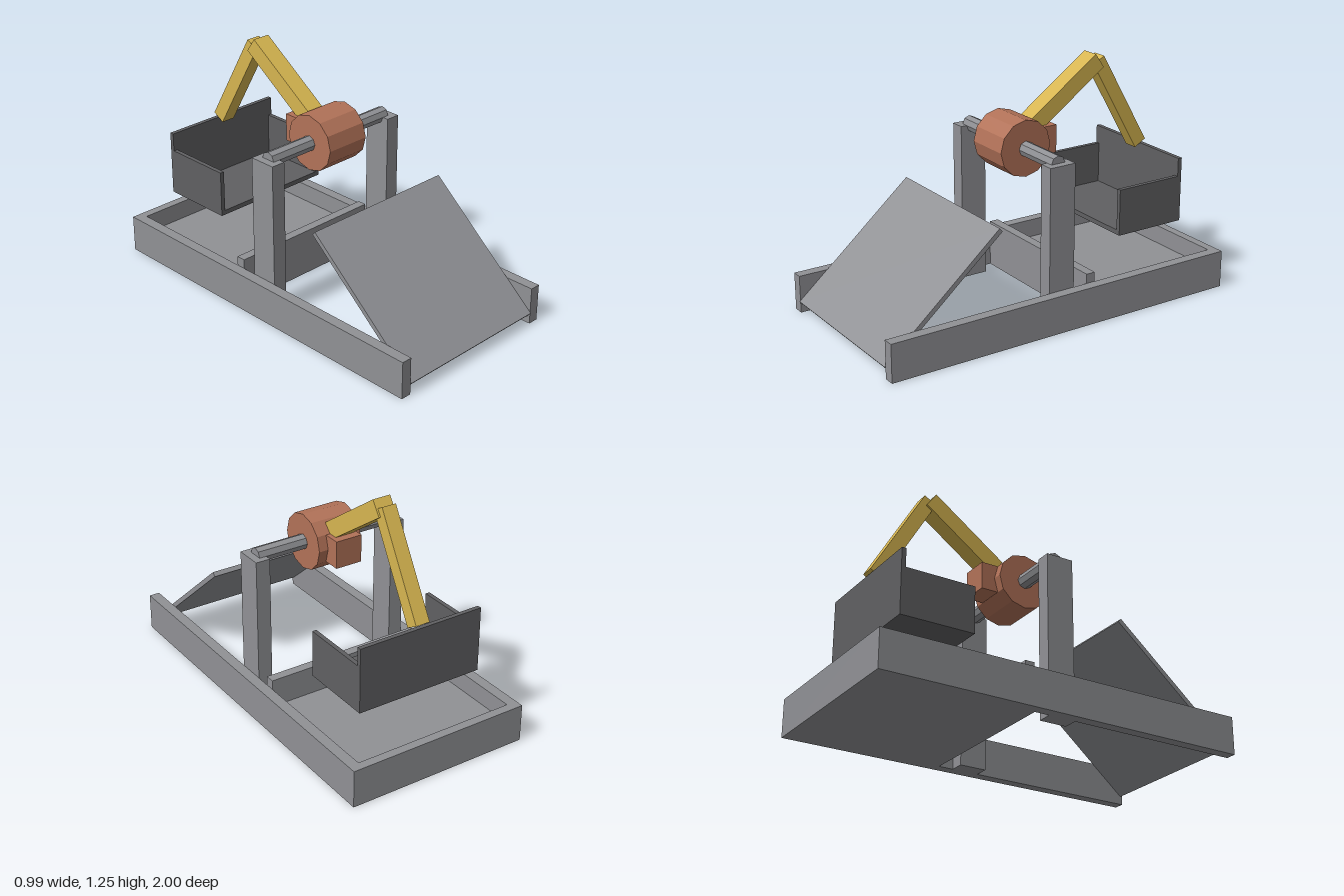
import * as THREE from 'three';

export function createModel() {
  const model = new THREE.Group();
  const mat = (name, color) => {
    const m = new THREE.MeshStandardMaterial({ color, flatShading: true });
    m.name = name;
    return m;
  };
  const grey = mat('frame grey', 0x909195);
  const dark = mat('bucket dark grey', 0x606062);
  const yellow = mat('arm yellow', 0xd6b550);
  const copper = mat('drum copper', 0xb27258);

  const add = (parent, name, geometry, material, x = 0, y = 0, z = 0, tilt = 0) => {
    const mesh = new THREE.Mesh(geometry, material);
    mesh.name = name;
    mesh.position.set(x, y, z);
    mesh.rotation.x = THREE.MathUtils.degToRad(tilt);
    parent.add(mesh);
    return mesh;
  };
  // Box given by its extents
  const block = (parent, name, material, x0, x1, y0, y1, z0, z1) =>
    add(parent, name, new THREE.BoxGeometry(x1 - x0, y1 - y0, z1 - z0), material,
      (x0 + x1) / 2, (y0 + y1) / 2, (z0 + z1) / 2);
  // Cylinder lying along x
  const roller = (name, material, radius, length, sides) => {
    const g = new THREE.CylinderGeometry(radius, radius, length, sides).rotateZ(Math.PI / 2);
    return add(model, name, g, material, 0, 0.85, 0);
  };

  // Base tray, open at the front
  const base = new THREE.Group();
  base.name = 'base';
  model.add(base);
  block(base, 'backWall', grey, -0.44, 0.44, 0, 0.2, -0.997, -0.95);
  block(base, 'trayFloor', grey, -0.44, 0.44, 0, 0.1, -0.95, -0.203);
  block(base, 'crossBeam', grey, -0.44, 0.44, 0, 0.25, -0.203, -0.153);

  // Side rails and axle posts
  for (const s of [-1, 1]) {
    const side = s > 0 ? 'left' : 'right';
    add(base, side + 'Rail', new THREE.BoxGeometry(0.057, 0.2, 1.994), grey, s * 0.4685, 0.1, 0);
    add(base, side + 'Post', new THREE.BoxGeometry(0.078, 0.85, 0.147), grey, s * 0.401, 0.425, 0);
  }

  // Sloping front plate
  add(model, 'ramp', new THREE.BoxGeometry(0.878, 0.025, 0.84), grey, 0, 0.3255, 0.675, 40.5);

  // Axle, drum and arm mount
  roller('axle', grey, 0.04, 0.8, 8);
  roller('drum', copper, 0.148, 0.248, 12);
  block(model, 'armMount', copper, -0.073, 0.073, 0.777, 0.923, -0.222, -0.075);

  // Two-piece arm
  add(model, 'upperArm', new THREE.BoxGeometry(0.098, 0.09, 0.482), yellow, 0, 1.07, -0.31, 35);
  add(model, 'lowerArm', new THREE.BoxGeometry(0.078, 0.075, 0.571), yellow, 0, 0.96, -0.652, -60);

  // Bucket, open at the top and front
  const bucket = new THREE.Group();
  bucket.name = 'bucket';
  model.add(bucket);
  block(bucket, 'bucketFloor', dark, -0.348, 0.348, 0.365, 0.39, -0.8, -0.425);
  block(bucket, 'bucketBack', dark, -0.348, 0.348, 0.365, 0.71, -0.823, -0.8);
  for (const s of [-1, 1]) {
    add(bucket, s > 0 ? 'bucketLeftSide' : 'bucketRightSide',
      new THREE.BoxGeometry(0.023, 0.222, 0.375), dark, s * 0.3365, 0.501, -0.6125);
  }

  model.position.z = -0.003;
  return model;
}
